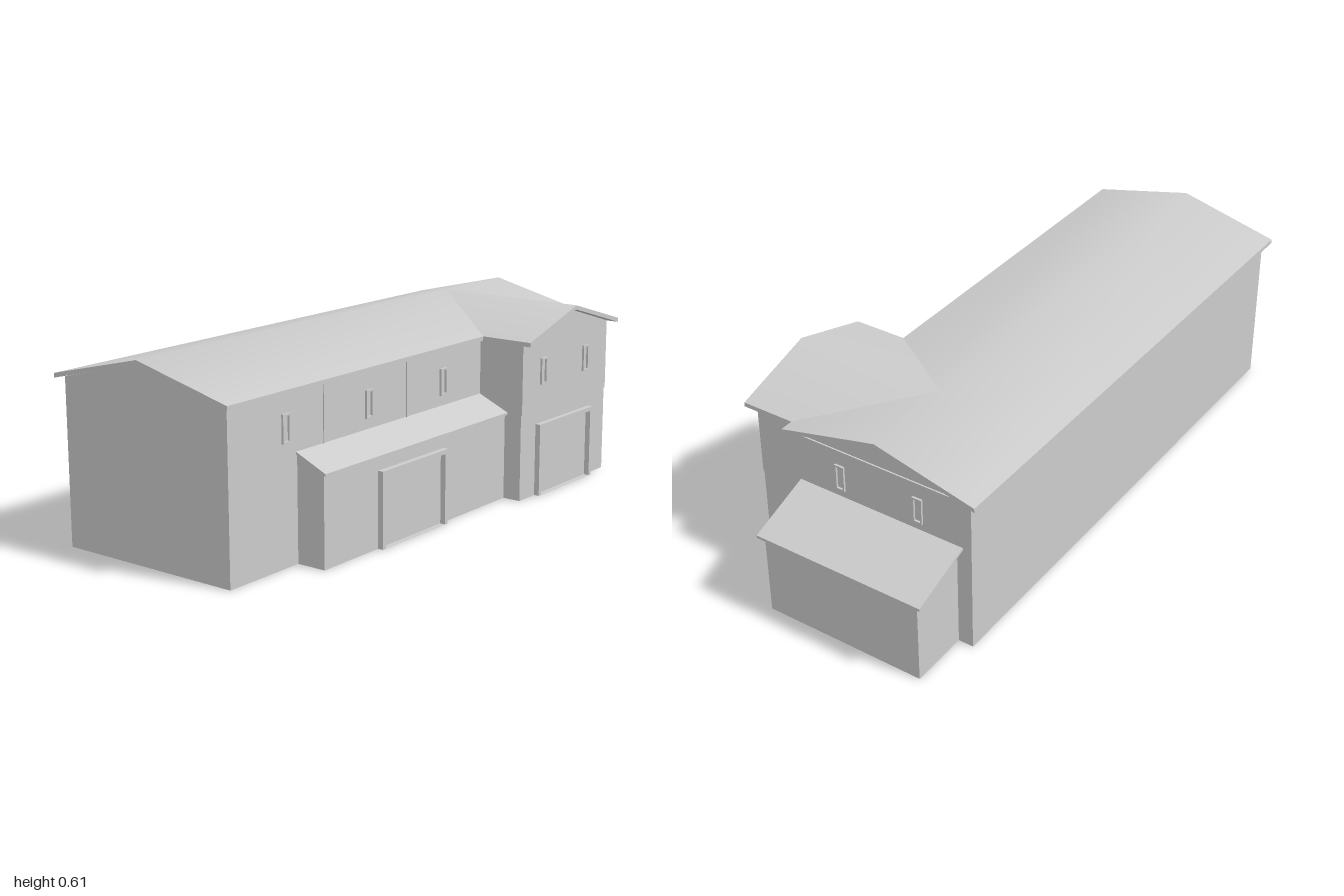
import * as THREE from 'three';
import { mergeGeometries } from 'three/addons/utils/BufferGeometryUtils.js';

const material = new THREE.MeshStandardMaterial({ color: 0xcccccc, side: THREE.DoubleSide });

function mesh(name, geometry) {
  const m = new THREE.Mesh(geometry, material);
  m.name = name;
  return m;
}

// Flat polygon from corners in order, drawn as a fan
function polygon(points) {
  const pos = [];
  for (let i = 1; i < points.length - 1; i++) pos.push(...points[0], ...points[i], ...points[i + 1]);
  const g = new THREE.BufferGeometry();
  g.setAttribute('position', new THREE.Float32BufferAttribute(pos, 3));
  g.computeVertexNormals();
  return g;
}

// Upright wall between two plan points [x, z]
const wall = ([x0, z0], [x1, z1], y0, y1) =>
  polygon([[x0, y0, z0], [x1, y0, z1], [x1, y1, z1], [x0, y1, z0]]);

// Roof slab: smooth top over shared ridge vertices, sharp rim, offset underside.
// The vertices run round the outline in order.
function roof(name, verts, quads, thickness) {
  const surface = (drop, flip) => {
    const g = new THREE.BufferGeometry();
    const pos = verts.flatMap(([x, y, z]) => [x, y - drop, z]);
    g.setAttribute('position', new THREE.Float32BufferAttribute(pos, 3));
    g.setIndex(quads.flatMap(([a, b, c, d]) => flip ? [a, c, b, a, d, c] : [a, b, c, a, c, d]));
    g.computeVertexNormals();
    return g.toNonIndexed();
  };
  const rim = verts.map((p, i) => {
    const q = verts[(i + 1) % verts.length];
    return polygon([[p[0], p[1] - thickness, p[2]], [q[0], q[1] - thickness, q[2]], q, p]);
  });
  return mesh(name, mergeGeometries([surface(0, false), surface(thickness, true), ...rim]));
}

// Rectangular surround standing on y = 0; an open foot makes it a door frame
function surround(name, w, h, border, depth, openFoot) {
  const s = new THREE.Shape([[-w / 2, 0], [w / 2, 0], [w / 2, h], [-w / 2, h]].map(p => new THREE.Vector2(...p)));
  const a = w / 2 - border, foot = openFoot ? 0.0005 : border;
  s.holes.push(new THREE.Path([[-a, foot], [-a, h - border], [a, h - border], [a, foot]].map(p => new THREE.Vector2(...p))));
  return mesh(name, new THREE.ExtrudeGeometry(s, { depth, bevelEnabled: false }));
}

function box(name, w, h, d, x, y, z) {
  const m = mesh(name, new THREE.BoxGeometry(w, h, d));
  m.position.set(x, y, z);
  return m;
}

export function createModel() {
  const group = new THREE.Group();
  group.name = 'building';
  const L = -0.98, R = 0.79, F = 0.23, B = -0.405, EAVE = 0.52, RIDGE = 0.598;

  // Main hall, open at the base and towards the annex and wing
  const gable = x => polygon([[x, 0, F], [x, 0, B], [x, EAVE, B], [x, RIDGE, -0.09], [x, EAVE, F]]);
  group.add(mesh('mainWalls', mergeGeometries([
    wall([R, B], [L, B], 0, EAVE),
    wall([L, F], [-0.69, F], 0, EAVE),
    wall([-0.69, F], [0.23, F], 0.33, EAVE),
    wall([0.75, F], [R, F], 0, EAVE),
    gable(R), gable(L).scale(1, 1, 1),
  ])));
  group.add(box('gableTrim', 0.006, 0.018, F - B, R + 0.002, 0.512, (F + B) / 2));
  group.add(roof('mainRoof', [
    [-1, 0.53, 0.25], [0.81, 0.53, 0.25], [0.81, 0.612, -0.09],
    [0.81, 0.53, -0.43], [-1, 0.53, -0.43], [-1, 0.612, -0.09],
  ], [[0, 1, 2, 5], [5, 2, 3, 4]], 0.014));

  // Front wing with a slightly proud upper storey
  const wx0 = 0.23, wx1 = 0.75, lowZ = 0.39, upZ = 0.394, step = 0.285;
  group.add(mesh('wingWalls', mergeGeometries([
    wall([wx0, F], [wx0, lowZ], 0, EAVE),
    wall([wx1, lowZ], [wx1, F], 0, EAVE),
    wall([wx0, lowZ], [wx1, lowZ], 0, step),
    wall([wx0, lowZ], [wx0, upZ], step, EAVE),
    wall([wx1, upZ], [wx1, lowZ], step, EAVE),
    polygon([[wx0, step, lowZ], [wx1, step, lowZ], [wx1, step, upZ], [wx0, step, upZ]]),
    polygon([[wx0, step, upZ], [wx1, step, upZ], [wx1, EAVE, upZ], [0.49, RIDGE, upZ], [wx0, EAVE, upZ]]),
  ])));
  group.add(roof('wingRoof', [
    [0.215, 0.53, 0.43], [0.49, 0.612, 0.43], [0.765, 0.53, 0.43],
    [0.765, 0.53, 0.25], [0.49, 0.612, -0.09], [0.215, 0.53, 0.25],
  ], [[0, 1, 4, 5], [1, 2, 3, 4]], 0.014));

  // Front annex under a lean-to roof
  const az = 0.328;
  group.add(mesh('frontAnnexWalls', mergeGeometries([
    wall([-0.69, az], [0.23, az], 0, 0.284),
    polygon([[-0.69, 0, F], [-0.69, 0, az], [-0.69, 0.284, az], [-0.69, 0.327, F]]),
  ])));
  group.add(roof('frontAnnexRoof', [
    [-0.695, 0.288, 0.338], [0.23, 0.288, 0.338], [0.23, 0.336, F], [-0.695, 0.336, F],
  ], [[0, 1, 2, 3]], 0.008));

  // Side annex under a lean-to roof
  const sx = 0.985, sf = 0.19, sb = -0.355;
  const cheek = z => polygon([[R, 0, z], [sx, 0, z], [sx, 0.278, z], [R, 0.345, z]]);
  group.add(mesh('sideAnnexWalls', mergeGeometries([wall([sx, sf], [sx, sb], 0, 0.278), cheek(sf), cheek(sb)])));
  group.add(roof('sideAnnexRoof', [
    [R, 0.355, 0.208], [1, 0.281, 0.208], [1, 0.281, -0.375], [R, 0.355, -0.375],
  ], [[0, 1, 2, 3]], 0.009));

  // Door frames on the annex and wing
  for (const [name, x, z] of [['annexDoorFrame', -0.275, az], ['wingDoorFrame', 0.483, lowZ]]) {
    const door = surround(name, 0.33, 0.24, 0.014, 0.018, true);
    door.position.set(x, 0, z);
    group.add(door);
  }

  // Window frames: three on the hall, two on the wing, two on the end gable
  const windows = [
    [-0.74, F, 0], [-0.36, F, 0], [0.02, F, 0],
    [0.35, upZ, 0], [0.61, upZ, 0],
    [R, 0.055, 1], [R, -0.222, 1],
  ];
  for (const [x, z, side] of windows) {
    const frame = surround('windowFrame', 0.033, 0.087, 0.006, 0.007, false);
    frame.position.set(x, side ? 0.38 : 0.37, z);
    frame.rotation.y = side * Math.PI / 2;
    group.add(frame);
  }

  // Narrow battens dividing the hall front
  for (const x of [-0.57, -0.17]) group.add(box('wallBatten', 0.005, 0.18, 0.004, x, 0.425, F + 0.001));

  return group;
}
